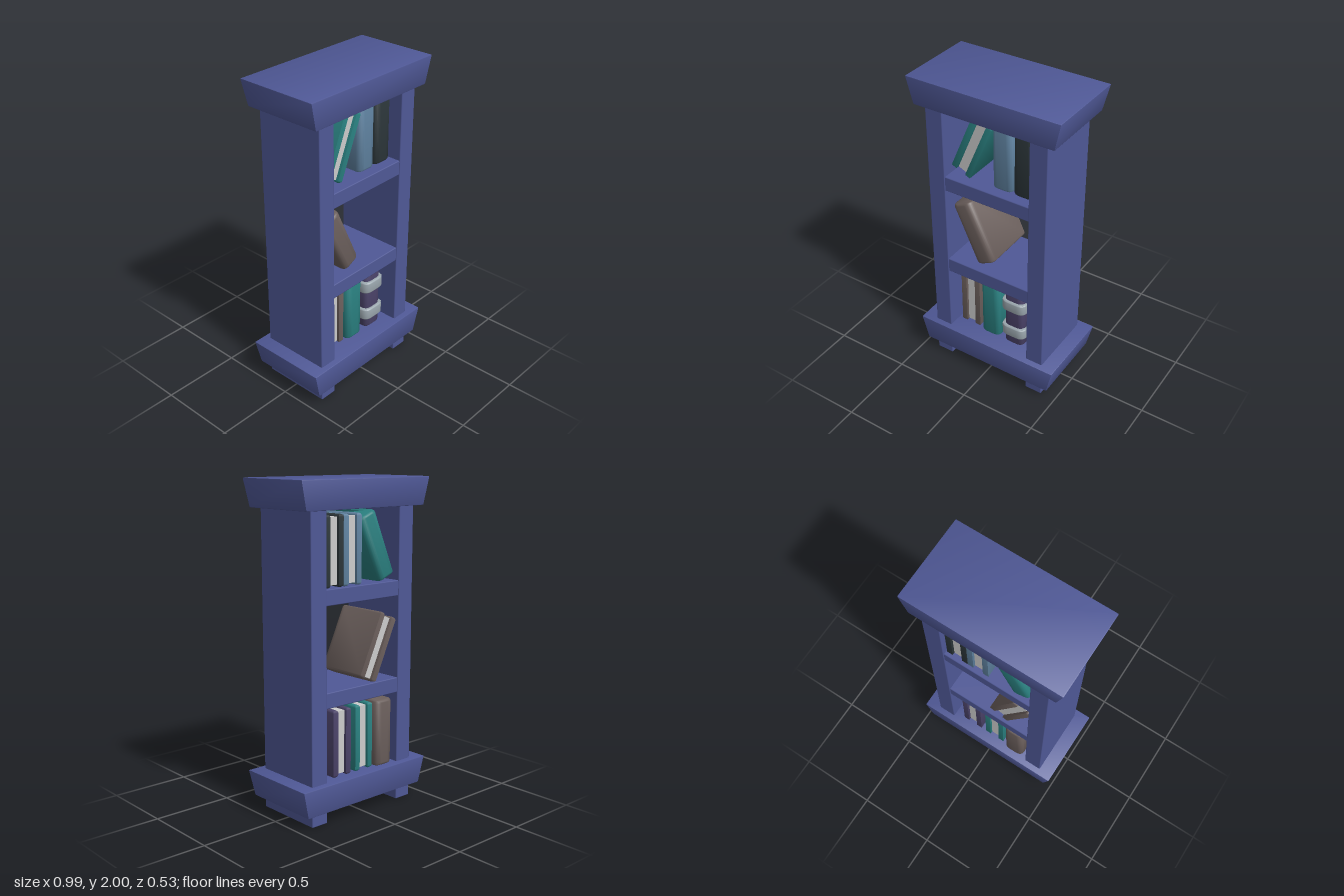
import * as THREE from 'three';
import { RoundedBoxGeometry } from 'three/addons/geometries/RoundedBoxGeometry.js';
import { toCreasedNormals } from 'three/addons/utils/BufferGeometryUtils.js';

const mat = (color) => new THREE.MeshStandardMaterial({ color });
const wood = mat(0x4f5896);
const paper = mat(0xcccccc);
const metal = mat(0x9aa6ad);

function part(name, geometry, material, x = 0, y = 0, z = 0) {
  const mesh = new THREE.Mesh(geometry, material);
  mesh.name = name;
  mesh.position.set(x, y, z);
  return mesh;
}

// Slightly softened box
const softBox = (w, h, d, r = 0.006) => new RoundedBoxGeometry(w, h, d, 1, r);

// Slab that narrows towards its underside
function taperedSlab() {
  const h = 0.17;
  const geo = softBox(0.99, h, 0.53);
  const p = geo.attributes.position;
  for (let i = 0; i < p.count; i++) {
    const t = 0.5 - p.getY(i) / h;
    p.setX(i, p.getX(i) * (1 - 0.08 * t));
    p.setZ(i, p.getZ(i) * (1 - 0.035 * t));
  }
  return toCreasedNormals(geo, 0.7);
}

// Upright U-shaped sleeve with a rounded spine at z1 and an opening at z0
function sleeve(w, h, z0, z1, wall, bevel) {
  const a = w / 2, b = a - wall, r = a * 0.62;
  const s = new THREE.Shape();
  s.moveTo(-a, z0);
  s.lineTo(-b, z0);
  s.lineTo(-b, z1 - wall);
  s.lineTo(b, z1 - wall);
  s.lineTo(b, z0);
  s.lineTo(a, z0);
  s.lineTo(a, z1 - r);
  s.quadraticCurveTo(a, z1, a - r, z1);
  s.lineTo(r - a, z1);
  s.quadraticCurveTo(-a, z1, -a, z1 - r);
  s.closePath();
  const geo = new THREE.ExtrudeGeometry(s, {
    depth: h - 2 * bevel, curveSegments: 6,
    bevelSize: bevel, bevelThickness: bevel, bevelOffset: -bevel, bevelSegments: 3,
  });
  geo.translate(0, 0, bevel - h / 2);
  geo.rotateX(Math.PI / 2);
  return toCreasedNormals(geo, 0.8);
}

// Book centred on its own origin, spine towards +z
function book({ name, color, x, y, z = -0.02, h = 0.415, tilt = 0, flipped = false, bands = false }) {
  const g = new THREE.Group();
  g.name = name;
  g.add(part('cover', sleeve(0.137, h, -0.18, 0.18, 0.037, 0.016), mat(color)));
  g.add(part('pages', new THREE.BoxGeometry(0.065, h - 0.03, 0.305), paper, 0, 0, -0.01));
  if (bands) {
    for (const by of [-0.1, 0.1]) {
      g.add(part('spineBand', sleeve(0.172, 0.078, 0.03, 0.197, 0.022, 0.01), metal, 0, by, 0));
    }
  }
  g.position.set(x, y, z);
  g.rotation.set(0, flipped ? Math.PI : 0, flipped ? -tilt : tilt);
  // Apply the lean in the shelf's frame, after any turn of the spine
  if (flipped) g.rotation.set(0, Math.PI, tilt, 'ZYX');
  return g;
}

export function createModel() {
  const model = new THREE.Group();
  model.name = 'bookcase';

  // Frame
  for (const side of [-1, 1]) {
    model.add(part(side > 0 ? 'leftPost' : 'rightPost', softBox(0.115, 1.85, 0.45), wood, side * 0.343, 0.925, 0));
  }
  model.add(part('topSlab', taperedSlab(), wood, 0, 1.915, 0));
  model.add(part('baseSlab', taperedSlab(), wood, 0, 0.165, 0));
  for (const y of [0.742, 1.342]) {
    model.add(part('shelf', softBox(0.585, 0.095, 0.44), wood, 0, y, 0));
  }

  // Books
  const teal = 0x2a8080, brown = 0x6b5f5c, blue = 0x5f82a0, dark = 0x2c363a, purple = 0x4a4268;
  const books = [
    { name: 'lowerBrownBook', color: brown, x: -0.184, y: 0.459, z: -0.04, flipped: true },
    { name: 'lowerTealBook', color: teal, x: -0.027, y: 0.459 },
    { name: 'bandedBook', color: purple, x: 0.147, y: 0.459, bands: true },
    { name: 'leaningBrownBook', color: brown, x: -0.143, y: 0.995, tilt: 0.43 },
    { name: 'leaningTealBook', color: teal, x: -0.137, y: 1.603, tilt: -0.4, flipped: true },
    { name: 'blueBook', color: blue, x: 0.066, y: 1.596 },
    { name: 'darkBook', color: dark, x: 0.206, y: 1.596 },
  ];
  for (const b of books) model.add(book(b));

  return model;
}
